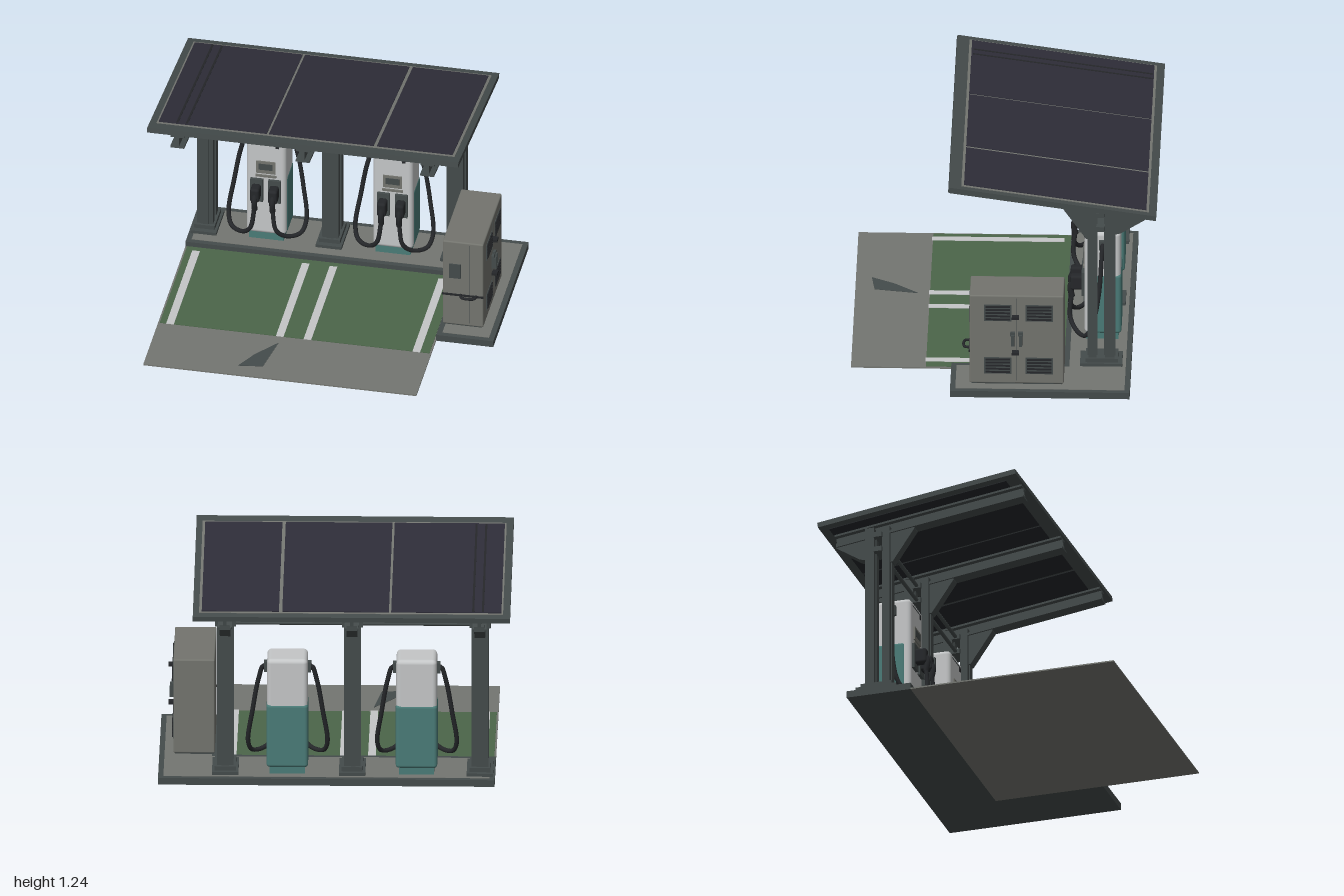
import * as THREE from 'three';
import { RoundedBoxGeometry } from 'three/addons/geometries/RoundedBoxGeometry.js';

const mat = (name, color) => {
  const m = new THREE.MeshStandardMaterial({ color });
  m.name = name;
  return m;
};

export function createModel() {
  const steel = mat('dark steel', 0x444b4b), concrete = mat('concrete grey', 0x747671);
  const green = mat('bay green', 0x4b6549), white = mat('pump white', 0xc4c6c7);
  const teal = mat('teal', 0x4a7b77), panelBlue = mat('solar panel', 0x2e2d38);
  const black = mat('rubber black', 0x25272a), cabinetGrey = mat('cabinet grey', 0x73746e);

  const root = new THREE.Group();
  root.name = 'chargingStation';
  const add = (parent, name, geo, material, x = 0, y = 0, z = 0) => {
    const m = new THREE.Mesh(geo, material);
    m.name = name;
    m.position.set(x, y, z);
    parent.add(m);
    return m;
  };
  // box given by its min and max corners
  const box = (parent, name, material, x0, x1, y0, y1, z0, z1) =>
    add(parent, name, new THREE.BoxGeometry(x1 - x0, y1 - y0, z1 - z0), material,
      (x0 + x1) / 2, (y0 + y1) / 2, (z0 + z1) / 2);
  const rounded = (parent, name, material, r, x0, x1, y0, y1, z0, z1) =>
    add(parent, name, new RoundedBoxGeometry(x1 - x0, y1 - y0, z1 - z0, 3, r), material,
      (x0 + x1) / 2, (y0 + y1) / 2, (z0 + z1) / 2);
  const group = (parent, name, x = 0, y = 0, z = 0) => {
    const g = new THREE.Group();
    g.name = name;
    g.position.set(x, y, z);
    parent.add(g);
    return g;
  };
  // flat slab from an outline of [x, z] points
  const slab = (name, material, pts, y, h) => {
    const shape = new THREE.Shape(pts.map(([x, z]) => new THREE.Vector2(x, -z)));
    const geo = new THREE.ExtrudeGeometry(shape, { depth: h, bevelEnabled: false });
    geo.rotateX(-Math.PI / 2);
    return add(root, name, geo, material, 0, y, 0);
  };
  const tube = (parent, name, material, pts, r, n = 40) =>
    add(parent, name, new THREE.TubeGeometry(
      new THREE.CatmullRomCurve3(pts.map(p => new THREE.Vector3(...p))), n, r, 8), material);

  // L-shaped plinth with lighter top surface
  const plinth = (i) => [[-0.91 + i, -0.72 + i], [1 - i, -0.72 + i], [1 - i, 0.3 - i],
    [0.67 + i, 0.3 - i], [0.67 + i, -0.34 - i], [-0.91 + i, -0.34 - i]];
  slab('plinth', steel, plinth(0), 0, 0.04);
  slab('plinthTop', concrete, plinth(0.03), 0.04, 0.002);

  // parking pad with painted bays
  box(root, 'parkingPad', concrete, -0.91, 0.67, 0, 0.008, -0.34, 0.87);
  box(root, 'bayPaint', green, -0.9, 0.66, 0.008, 0.011, -0.34, 0.445);
  for (const x of [-0.84, -0.205, -0.045, 0.585])
    box(root, 'bayStripe', white, x - 0.022, x + 0.022, 0.011, 0.014, -0.3, 0.45);
  slab('padStain', steel, [[-0.2, 0.51], [-0.24, 0.76], [-0.38, 0.78], [-0.31, 0.65]], 0.008, 0.002);

  // tilted solar roof
  const roof = group(root, 'solarRoof', -0.1, 1.16, -0.278);
  roof.rotation.x = -0.143;
  box(roof, 'roofFrame', steel, -0.9, 0.9, -0.03, 0, -0.595, 0.595);
  box(roof, 'panelBorder', concrete, -0.86, 0.865, 0, 0.003, -0.55, 0.525);
  for (const [x0, x1] of [[-0.85, -0.225], [-0.212, 0.393], [0.412, 0.85]]) {
    box(roof, 'solarPanel', panelBlue, x0, x1, 0.003, 0.007, -0.535, 0.51);
    box(roof, 'panelUnderside', black, x0, x1, -0.034, -0.03, -0.545, 0.52);
  }
  for (const x of [-0.745, -0.69])
    box(roof, 'panelSeam', black, x - 0.006, x + 0.006, 0.007, 0.009, -0.53, 0.5);

  // gusset outline [z, y] between post and roof beam
  const gusset = new THREE.Shape([[-0.335, 1.06], [-0.335, 1.03], [-0.465, 0.84], [-0.48, 0.84],
    [-0.48, 1.04]].map(([z, y]) => new THREE.Vector2(-z, y)));
  const rearGusset = new THREE.Shape([[-0.62, 1.02], [-0.62, 0.87], [-0.66, 0.88], [-0.8, 0.97],
    [-0.8, 1.0]].map(([z, y]) => new THREE.Vector2(-z, y)));

  // posts with feet, collars, brackets and roof beams
  for (const x of [-0.825, -0.1, 0.62]) {
    const post = group(root, 'post', x);
    for (const [z0, z1] of [[-0.522, -0.478], [-0.624, -0.57]]) {
      box(post, 'column', steel, -0.047, 0.047, 0.04, 1.06, z0, z1);
      box(post, 'columnRib', steel, -0.02, 0.02, 0.07, 1.04, z0 - 0.006, z1 + 0.006);
    }
    box(post, 'footPlate', steel, -0.075, 0.075, 0.04, 0.06, -0.67, -0.43);
    box(post, 'footCollar', steel, -0.06, 0.06, 0.06, 0.085, -0.645, -0.46);
    for (const y of [0.92, 1.01])
      box(post, 'railCollar', steel, -0.06, 0.06, y - 0.015, y + 0.015, -0.57, -0.52);
    for (const s of [gusset, rearGusset]) {
      const geo = new THREE.ExtrudeGeometry(s, { depth: 0.06, bevelEnabled: false });
      geo.rotateY(Math.PI / 2);
      add(post, 'gusset', geo, steel, -0.03);
    }
    const beam = group(roof, 'roofBeam', x + 0.1);
    box(beam, 'upperFlange', steel, -0.04, 0.04, -0.046, -0.034, -0.54, 0.585);
    box(beam, 'web', steel, -0.01, 0.01, -0.1, -0.046, -0.54, 0.585);
    box(beam, 'lowerFlange', steel, -0.04, 0.04, -0.112, -0.1, -0.54, 0.585);
  }
  for (const y of [0.92, 1.01]) {
    const rail = add(root, 'crossRail', new THREE.CylinderGeometry(0.011, 0.011, 1.445, 10), steel, -0.1025, y, -0.545);
    rail.rotation.z = Math.PI / 2;
  }

  // charging pumps
  for (const x of [-0.465, 0.268]) {
    const pump = group(root, 'chargingPump', x);
    box(pump, 'pumpFoot', teal, -0.1, 0.1, 0.04, 0.1, -0.64, -0.455);
    rounded(pump, 'pumpBody', white, 0.025, -0.115, 0.115, 0.08, 0.735, -0.653, -0.447);
    rounded(pump, 'pumpSkirt', teal, 0.02, -0.118, 0.118, 0.082, 0.465, -0.657, -0.475);
    // front panel details
    box(pump, 'topSeam', steel, -0.075, 0.075, 0.7, 0.706, -0.448, -0.445);
    box(pump, 'statusLight', black, 0.055, 0.075, 0.675, 0.7, -0.448, -0.443);
    box(pump, 'screenFrame', cabinetGrey, -0.055, 0.055, 0.5, 0.58, -0.448, -0.439);
    box(pump, 'screen', steel, -0.04, 0.04, 0.525, 0.565, -0.44, -0.436);
    box(pump, 'cardReader', cabinetGrey, -0.06, 0.06, 0.475, 0.488, -0.448, -0.438);
    for (const s of [-1, 1]) {
      box(pump, 'holster', steel, s * 0.052 - 0.036, s * 0.052 + 0.036, 0.31, 0.46, -0.448, -0.43);
      rounded(pump, 'plugHead', black, 0.015, s * 0.052 - 0.026, s * 0.052 + 0.026, 0.34, 0.43, -0.44, -0.365);
      tube(pump, 'plugHandle', black, [[s * 0.052, 0.39, -0.38], [s * 0.052, 0.35, -0.365],
        [s * 0.052, 0.29, -0.375]], 0.017, 10);
      tube(pump, 'cable', black, [[s * 0.1, 0.655, -0.55], [s * 0.135, 0.665, -0.55], [s * 0.165, 0.58, -0.545],
        [s * 0.2, 0.38, -0.53], [s * 0.225, 0.18, -0.49], [s * 0.2, 0.115, -0.45], [s * 0.13, 0.115, -0.4],
        [s * 0.075, 0.17, -0.365], [s * 0.052, 0.3, -0.372]], 0.013, 56);
      box(pump, 'cableMount', steel, s * 0.122 - 0.012, s * 0.122 + 0.012, 0.63, 0.69, -0.57, -0.53);
    }
  }

  // power cabinet
  const cabinet = group(root, 'powerCabinet');
  box(cabinet, 'cabinetFoot', steel, 0.69, 0.91, 0.04, 0.06, -0.335, 0.18);
  rounded(cabinet, 'cabinetBody', cabinetGrey, 0.008, 0.685, 0.92, 0.05, 0.615, -0.344, 0.19);
  box(cabinet, 'doorSeam', steel, 0.919, 0.923, 0.07, 0.6, -0.079, -0.075);
  for (const zc of [0.03, -0.205])
    for (const yc of [0.165, 0.505]) {
      box(cabinet, 'vent', steel, 0.918, 0.924, yc - 0.052, yc + 0.052, zc - 0.078, zc + 0.078);
      for (let i = 0; i < 5; i++)
        box(cabinet, 'ventSlat', black, 0.922, 0.929, yc - 0.044 + i * 0.02, yc - 0.034 + i * 0.02, zc - 0.07, zc + 0.07);
    }
  for (const z of [-0.055, -0.1]) {
    box(cabinet, 'doorHandle', steel, 0.92, 0.945, 0.3, 0.37, z - 0.009, z + 0.009);
    box(cabinet, 'handleLock', steel, 0.92, 0.935, 0.36, 0.385, z - 0.014, z + 0.014);
  }
  // front hatch, strap and side latches
  box(cabinet, 'hatch', steel, 0.722, 0.79, 0.37, 0.465, 0.188, 0.196);
  box(cabinet, 'strap', black, 0.683, 0.922, 0.25, 0.262, 0.188, 0.195);
  box(cabinet, 'cornerSeam', steel, 0.84, 0.844, 0.07, 0.6, 0.189, 0.192);
  tube(cabinet, 'frontHandle', black, [[0.79, 0.258, 0.19], [0.8, 0.258, 0.22], [0.87, 0.258, 0.22],
    [0.88, 0.258, 0.19]], 0.008, 16);
  for (const y of [0.256, 0.485])
    box(cabinet, 'sideLatch', black, 0.915, 0.952, y - 0.008, y + 0.008, -0.09, -0.05);

  return root;
}
